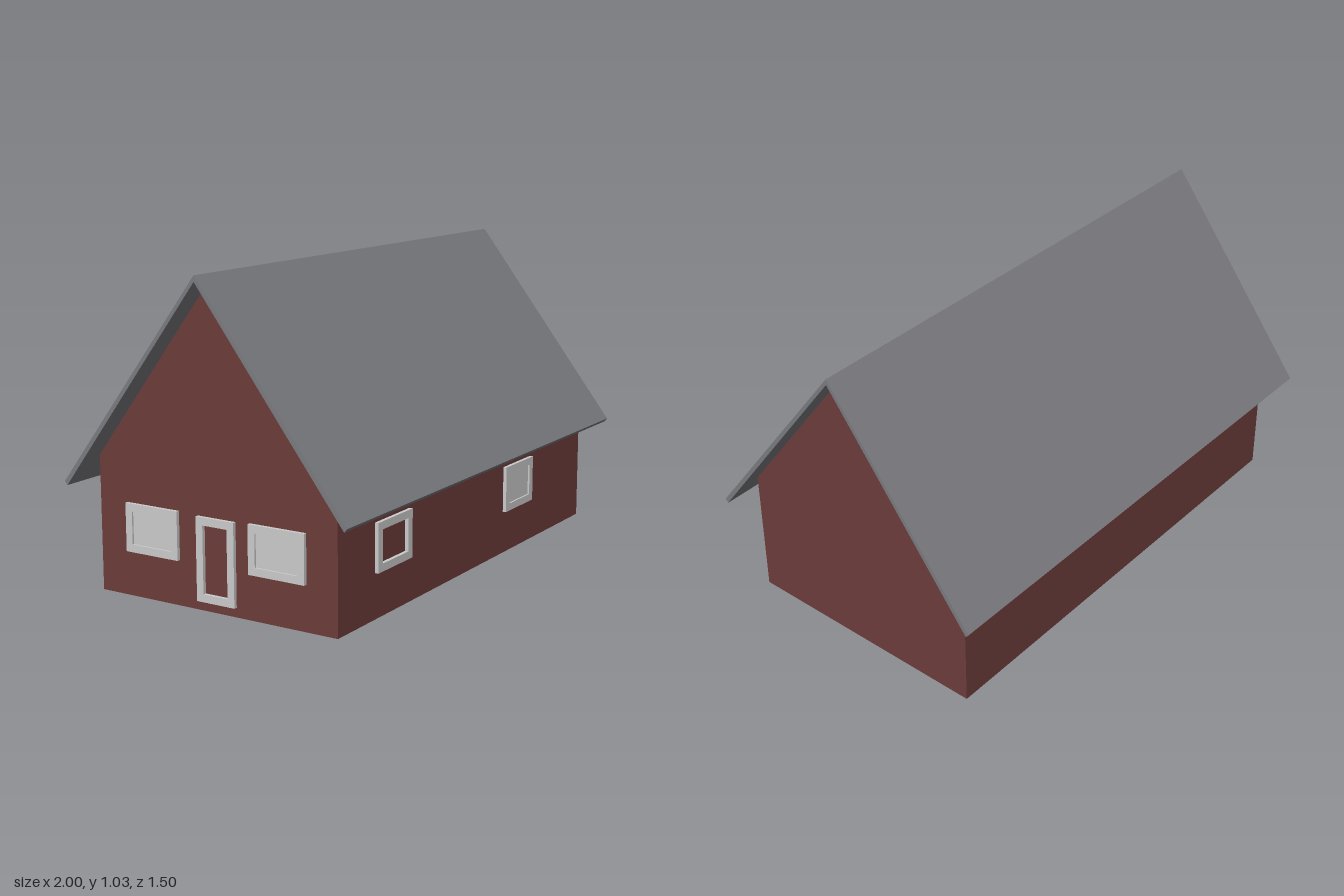
import * as THREE from 'three';

const brick = new THREE.MeshStandardMaterial({ color: 0x6c3d3b, flatShading: true });
const slate = new THREE.MeshStandardMaterial({ color: 0x7a7b80, flatShading: true });
const trim = new THREE.MeshStandardMaterial({ color: 0xcccccc, flatShading: true });

const HALF_L = 0.814, HALF_W = 0.44; // wall footprint

const shapeOf = (pts) => new THREE.Shape(pts.map(([x, y]) => new THREE.Vector2(x, y)));

// Extrudes a gable cross-section along the ridge (local x)
function alongRidge(name, pts, length, material) {
  const geo = new THREE.ExtrudeGeometry(shapeOf(pts), { depth: length, bevelEnabled: false });
  geo.translate(0, 0, -length / 2).rotateY(Math.PI / 2);
  const mesh = new THREE.Mesh(geo, material);
  mesh.name = name;
  return mesh;
}

// Rectangular frame facing +z, with an optional pane set inside it
function makeFrame(name, w, h, border, pane) {
  const group = new THREE.Group();
  group.name = name;
  const rect = (a, b) => [[-a, -b], [a, -b], [a, b], [-a, b]];
  const shape = shapeOf(rect(w / 2, h / 2));
  const iw = w / 2 - border, ih = h / 2 - border;
  shape.holes.push(new THREE.Path(rect(iw, ih).reverse().map(([x, y]) => new THREE.Vector2(x, y))));
  const frame = new THREE.Mesh(
    new THREE.ExtrudeGeometry(shape, { depth: 0.012, bevelEnabled: false }), trim);
  frame.name = name + 'Frame';
  group.add(frame);
  if (pane) {
    const glass = new THREE.Mesh(new THREE.BoxGeometry(iw * 2, ih * 2, 0.006), trim);
    glass.position.z = 0.003;
    glass.name = name + 'Pane';
    group.add(glass);
  }
  return group;
}

export function createModel() {
  const house = new THREE.Group();
  house.name = 'house';

  // Walls with gable ends
  house.add(alongRidge('walls', [
    [-HALF_W, 0], [HALF_W, 0], [HALF_W, 0.436], [0, 1.01], [-HALF_W, 0.436],
  ], HALF_L * 2, brick));

  // Thin pitched roof overhanging on all sides
  house.add(alongRidge('roof', [
    [0.52, 0.357], [0, 1.03], [-0.52, 0.357], [-0.51, 0.345], [0, 1.011], [0.51, 0.345],
  ], 1.778, slate));

  // Long-side windows, one open and one glazed
  [[-0.512, false], [0.314, true]].forEach(([x, pane]) => {
    const win = makeFrame('frontWindow', 0.2, 0.155, 0.025, pane);
    win.position.set(x, 0.222, HALF_W);
    house.add(win);
  });

  // Entrance gable: door between two windows
  const entrance = new THREE.Group();
  entrance.name = 'entrance';
  [-0.232, 0.232].forEach((x) => {
    const win = makeFrame('gableWindow', 0.2, 0.155, 0.025, true);
    win.position.set(x, 0.222, 0);
    entrance.add(win);
  });
  const door = makeFrame('door', 0.14, 0.265, 0.025, false);
  door.position.set(0.01, 0.163, 0);
  entrance.add(door);
  entrance.position.x = -HALF_L;
  entrance.rotation.y = -Math.PI / 2;
  house.add(entrance);

  // The house stands turned on its plot
  house.rotation.y = THREE.MathUtils.degToRad(16.3);
  const model = new THREE.Group();
  model.add(house);
  return model;
}
